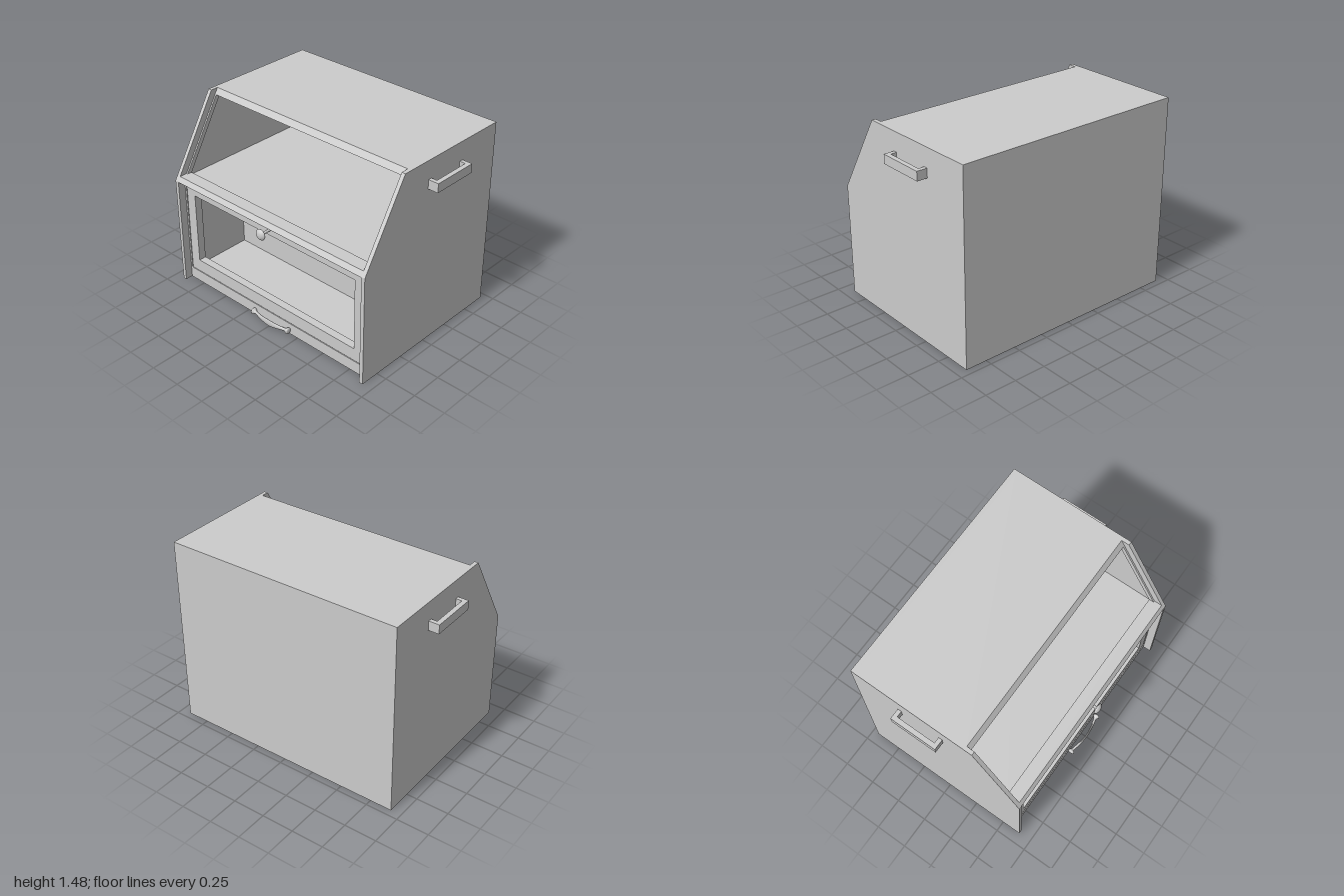
import * as THREE from 'three';

const material = new THREE.MeshStandardMaterial({ color: 0xcccccc });

function add(parent, name, geometry) {
  const mesh = new THREE.Mesh(geometry, material);
  mesh.name = name;
  parent.add(mesh);
  return mesh;
}

// Box given by its lower and upper limits on each axis
function box(parent, name, [x0, x1], [y0, y1], [z0, z1]) {
  const mesh = add(parent, name, new THREE.BoxGeometry(x1 - x0, y1 - y0, z1 - z0));
  mesh.position.set((x0 + x1) / 2, (y0 + y1) / 2, (z0 + z1) / 2);
  return mesh;
}

// Profile of [z, y] points extruded across x, from x0 to x1
function across(parent, name, points, x0, x1) {
  const shape = new THREE.Shape(points.map(([z, y]) => new THREE.Vector2(z, y)));
  const geometry = new THREE.ExtrudeGeometry(shape, { depth: x1 - x0, bevelEnabled: false });
  geometry.rotateY(-Math.PI / 2).translate(x1, 0, 0);
  return add(parent, name, geometry);
}

function rectPath(path, x, y0, y1) {
  path.moveTo(-x, y0);
  path.lineTo(x, y0);
  path.lineTo(x, y1);
  path.lineTo(-x, y1);
  path.closePath();
  return path;
}

export function createModel() {
  const model = new THREE.Group();
  model.name = 'breadBox';
  const W = 0.92, IN = 0.89, BACK = -0.7, FACE = 0.59;

  for (const s of [1, -1]) {
    const span = (a, b) => (s > 0 ? [a, b] : [-b, -a]);
    const side = s > 0 ? 'left' : 'right';

    // Side panel with the slanted upper front corner
    across(model, side + 'Panel',
      [[BACK, 0], [0.65, 0], [0.65, 0.87], [0.28, 1.48], [BACK, 1.48]], ...span(IN, W));

    // Slanted stop along the edge of the upper opening
    across(model, side + 'WindowStop',
      [[0.53, 0.9], [0.57, 0.9], [0.22, 1.48], [0.18, 1.48]], ...span(0.878, IN));

    // Door jamb
    box(model, side + 'Jamb', span(0.876, IN), [0.09, 0.87], [0.53, FACE]);

    // Carrying handle: two posts and a grip
    const handle = new THREE.Group();
    handle.name = side + 'Handle';
    model.add(handle);
    box(handle, 'grip', span(0.965, 1), [1.265, 1.335], [-0.33, 0.035]);
    box(handle, 'rearPost', span(W, 0.965), [1.265, 1.335], [-0.33, -0.3]);
    box(handle, 'frontPost', span(W, 0.965), [1.265, 1.335], [0.005, 0.035]);
  }

  // Carcass boards
  box(model, 'backPanel', [-IN, IN], [0, 1.48], [BACK, -0.67]);
  box(model, 'floor', [-IN, IN], [0, 0.065], [-0.67, 0.53]);
  box(model, 'bottomRail', [-IN, IN], [0, 0.09], [0.53, FACE]);
  box(model, 'shelf', [-IN, IN], [0.86, 0.88], [-0.67, 0.53]);
  box(model, 'partition', [-IN, IN], [0.065, 0.86], [0, 0.03]);
  across(model, 'topBoard',
    [[-0.67, 1.45], [0.18, 1.45], [0.18, 1.435], [0.248, 1.435], [0.22, 1.48], [-0.67, 1.48]], -IN, IN);
  across(model, 'middleRail',
    [[0.53, 0.865], [0.65, 0.865], [0.65, 0.87], [0.629, 0.905], [0.53, 0.905]], -IN, IN);

  // Door frame with an open window
  const door = new THREE.Group();
  door.name = 'door';
  model.add(door);
  const frame = rectPath(new THREE.Shape(), 0.868, 0.097, 0.86);
  frame.holes.push(rectPath(new THREE.Path(), 0.785, 0.197, 0.765));
  add(door, 'doorFrame', new THREE.ExtrudeGeometry(frame, { depth: 0.06, bevelEnabled: false })
    .translate(0, 0, FACE - 0.06));

  // Round door knob: stem flaring into a domed disc
  const knobCurve = new THREE.SplineCurve([
    [0.01, 0.05], [0.01, 0.067], [0.02, 0.075], [0.038, 0.081], [0.042, 0.087],
    [0.038, 0.095], [0.022, 0.106], [0, 0.11],
  ].map(([r, h]) => new THREE.Vector2(r, h)));
  const knobProfile = [new THREE.Vector2(0.01, 0), ...knobCurve.getPoints(28)];
  knobProfile.forEach((p) => { p.x = Math.max(p.x, 0); });
  const knob = add(door, 'knob', new THREE.LatheGeometry(knobProfile, 32));
  knob.rotation.x = Math.PI / 2;
  knob.position.set(0, 0.812, FACE);

  // Bowed pull on the bottom rail: a lathe along x, flattened and arched forward
  const pullCurve = new THREE.SplineCurve([
    [0, -0.187], [0.02, -0.183], [0.025, -0.172], [0.016, -0.158], [0.012, -0.14],
    [0.021, -0.07], [0.028, 0], [0.021, 0.07], [0.012, 0.14],
    [0.016, 0.158], [0.025, 0.172], [0.02, 0.183], [0, 0.187],
  ].map(([r, h]) => new THREE.Vector2(r, h)));
  const pullProfile = pullCurve.getPoints(60);
  pullProfile.forEach((p) => { p.x = Math.max(p.x, 0); });
  const pullGeometry = new THREE.LatheGeometry(pullProfile, 20).rotateZ(-Math.PI / 2);
  const pos = pullGeometry.attributes.position;
  for (let i = 0; i < pos.count; i++) {
    const t = Math.min(Math.abs(pos.getX(i)) / 0.16, 1);
    const bow = Math.cos(t * Math.PI / 2);
    pos.setZ(i, pos.getZ(i) * (1 - 0.75 * bow) + 0.026 * bow);
  }
  pullGeometry.computeVertexNormals();
  const pull = add(model, 'bottomPull', pullGeometry);
  pull.position.set(0, 0.038, FACE + 0.022);

  return model;
}
